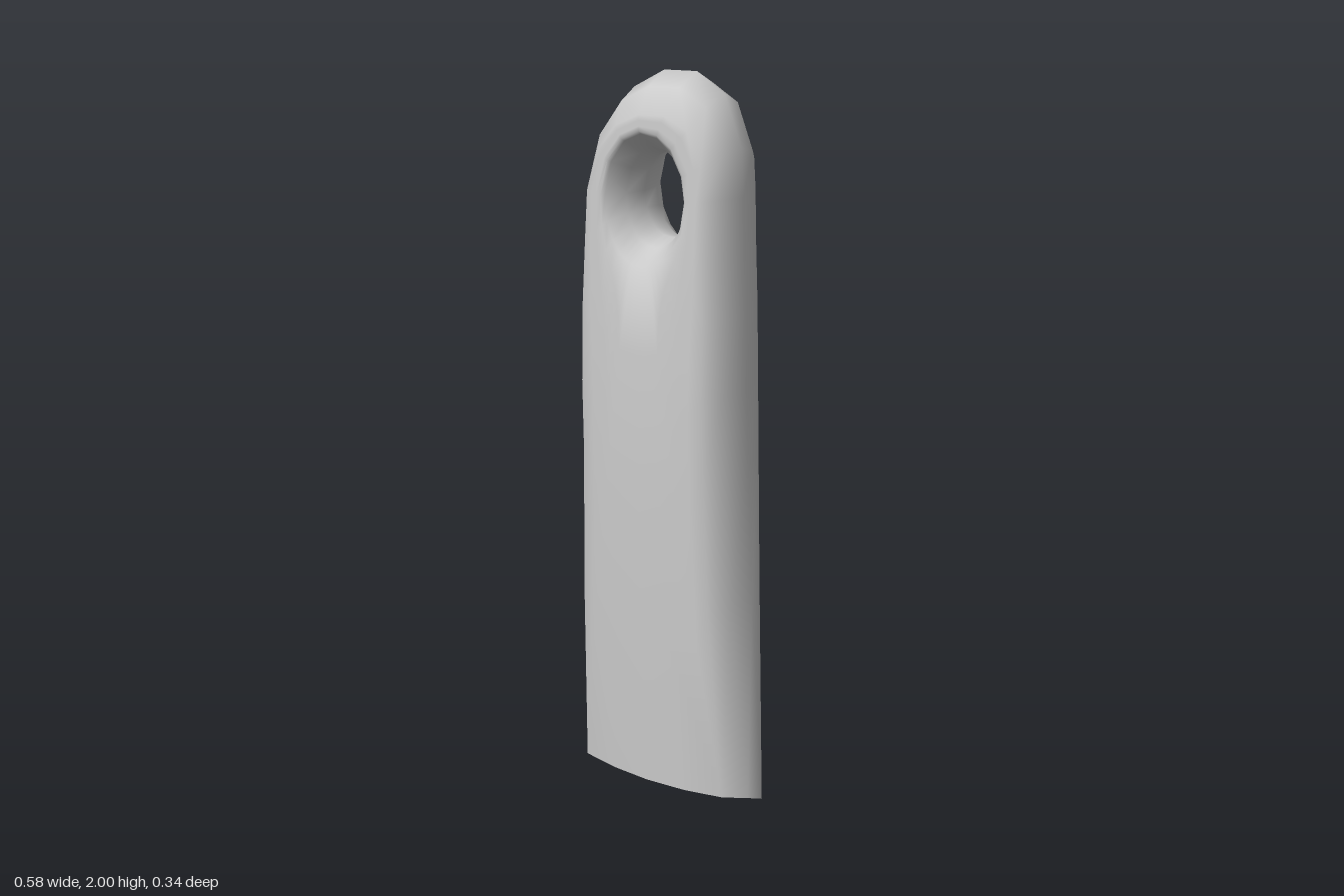
import * as THREE from 'three';
import { toCreasedNormals } from 'three/addons/utils/BufferGeometryUtils.js';

// piecewise linear lookup in [key, value] pairs
function lookup(table, y) {
  for (let i = 1; i < table.length; i++) {
    const [y0, a] = table[i - 1], [y1, b] = table[i];
    if (y <= y1) return a + (b - a) * Math.max(0, (y - y0) / (y1 - y0));
  }
  return table[table.length - 1][1];
}
const mix = (a, b, t) => a + (b - a) * t;

// depth of the front and back faces along the height
const FRONT = [[0, 0.148], [0.06, 0.148], [0.6, 0.17], [1.2, 0.17], [1.5, 0.155], [1.9, 0.132]];
const BACK = [[0, 0.122], [0.06, 0.122], [0.6, 0.155], [1.05, 0.173], [1.5, 0.162], [1.9, 0.155]];

// silhouette, counter-clockwise from the lower left corner
const OUTLINE = [
  [-0.29, 0.01], [-0.15, 0], [0, 0], [0.15, 0], [0.29, 0.01],
  [0.247, 0.62], [0.227, 1], [0.22, 1.2], [0.215, 1.4], [0.207, 1.56], [0.202, 1.7], [0.195, 1.82],
  [0.145, 1.95], [0.065, 2], [-0.03, 2], [-0.12, 1.955], [-0.195, 1.855], [-0.24, 1.7],
  [-0.248, 1.56], [-0.257, 1.4], [-0.257, 1.2], [-0.255, 1], [-0.268, 0.6],
];
const HOLE = { x: -0.012, y: 1.69, rx: 0.079, ry: 0.11 };

// one closed loop of points: out of the hole over the front, round the edge, back over the rear
function section([x, y]) {
  const bottom = y < 0.05;
  const angle = Math.atan2(y - HOLE.y, x - HOLE.x);
  const holePoint = (s) => {
    const c = Math.cos(angle), d = Math.sin(angle);
    const r = s / Math.hypot(c / HOLE.rx, d / HOLE.ry);
    return [HOLE.x + c * r, HOLE.y + d * r];
  };
  const edgeZ = bottom && Math.abs(x) < 0.2 ? -0.05 : 0;
  const half = (table, sign) => {
    const face = (px, py) => sign * lookup(table, py) * (1 - 0.16 * Math.min(1.3, (px / 0.2) ** 2));
    const shoulder = [x * 0.78, bottom ? 0.055 : y > 1.7 ? 1.7 + (y - 1.7) * 0.67 : y];
    const lip = holePoint(1.15), rim = holePoint(1.5);
    const pts = [
      [...lip, face(...lip) * 0.5],
      [...rim, face(...rim) * 0.93],
    ];
    for (const t of [0.15, 0.4, 0.7, 1]) {
      const px = mix(rim[0], shoulder[0], t), py = mix(rim[1], shoulder[1], t);
      pts.push([px, py, face(px, py)]);
    }
    const z = face(...shoulder);
    pts.push([mix(shoulder[0], x, 0.65), mix(shoulder[1], y, 0.65), mix(z, edgeZ, bottom ? 0.65 : 0.42)]);
    return pts;
  };
  return [[...holePoint(1), 0], ...half(FRONT, 1), [x, y, edgeZ], ...half(BACK, -1).reverse()];
}

// skin the loops into a closed ring around the hole
function ringGeometry(loops) {
  const n = loops.length, m = loops[0].length, index = [];
  for (let i = 0; i < n; i++) {
    for (let j = 0; j < m; j++) {
      const i1 = (i + 1) % n, j1 = (j + 1) % m;
      const a = i * m + j, b = i * m + j1, c = i1 * m + j1, d = i1 * m + j;
      index.push(a, b, c, a, c, d);
    }
  }
  const geometry = new THREE.BufferGeometry();
  geometry.setAttribute('position', new THREE.Float32BufferAttribute(loops.flat(2), 3));
  geometry.setIndex(index);
  return toCreasedNormals(geometry, 1.1);
}

export function createModel() {
  const group = new THREE.Group();
  group.name = 'piercedStone';
  // tapered slab with a flared hanging hole
  const body = new THREE.Mesh(
    ringGeometry(OUTLINE.map(section)),
    new THREE.MeshStandardMaterial({ color: 0xcccccc }),
  );
  body.name = 'stoneBody';
  group.add(body);
  return group;
}
